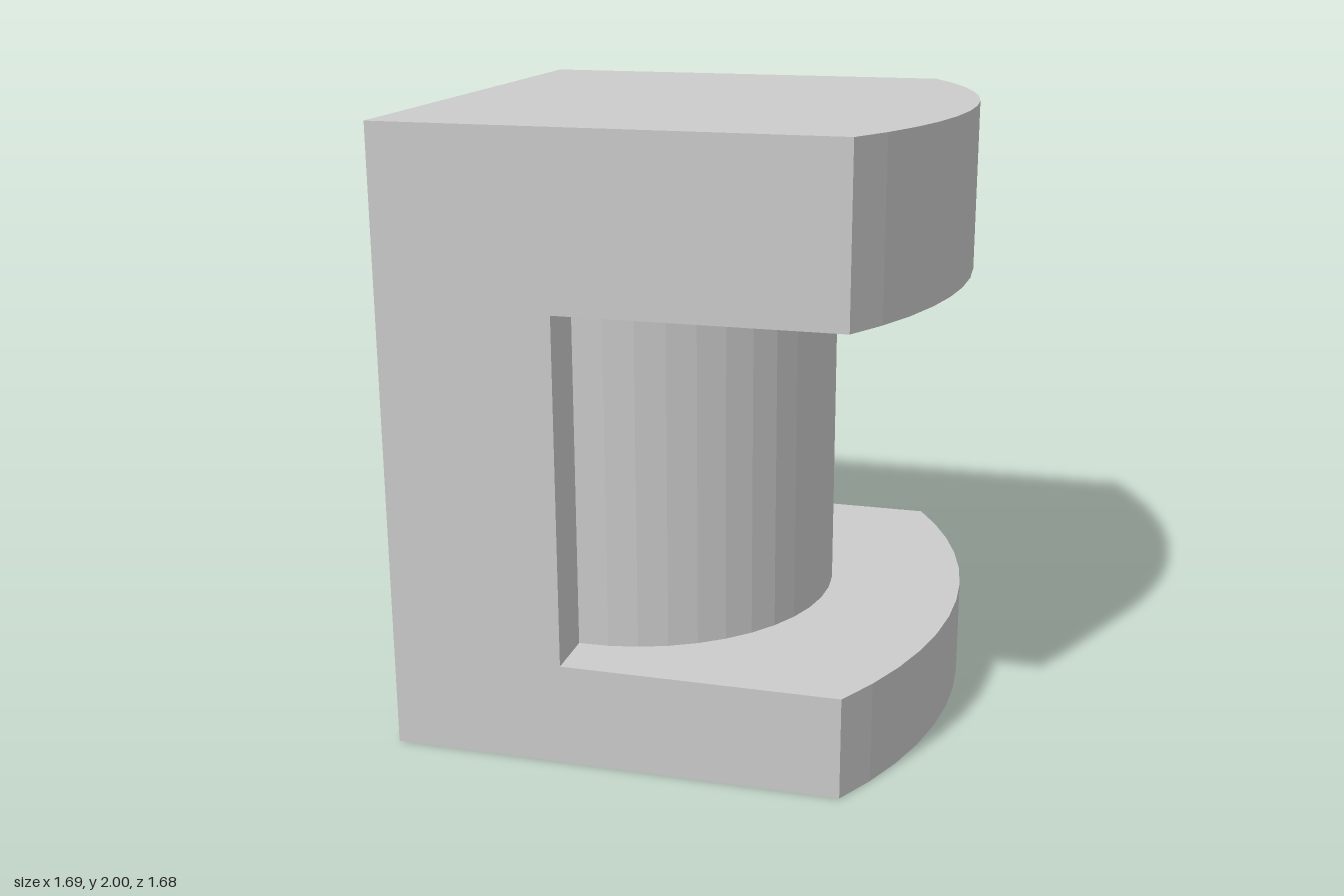
import * as THREE from 'three';

const BACK = -0.845, HALF = 0.84, WALL = -0.285;

// Extrudes a plan outline upwards from y0 to y1
function prism(name, shape, y0, y1, curveSegments) {
  const geometry = new THREE.ExtrudeGeometry(shape, { depth: y1 - y0, bevelEnabled: false, curveSegments });
  geometry.rotateX(-Math.PI / 2);
  geometry.translate(0, y0, 0);
  const material = new THREE.MeshStandardMaterial({ color: 0xcccccc, flatShading: true });
  const mesh = new THREE.Mesh(geometry, material);
  mesh.name = name;
  return mesh;
}

// Block outline with a bowed +x side
function flangeShape() {
  const radius = 1.59, centre = 0.843 - radius;
  const a = Math.asin(HALF / radius);
  const s = new THREE.Shape();
  s.moveTo(BACK, HALF);
  s.lineTo(BACK, -HALF);
  s.absarc(centre, 0, radius, -a, a, false);
  s.closePath();
  return s;
}

// Back wall merged with the round column standing out of it
function coreShape() {
  const radius = 0.66, centre = -0.26;
  const a = Math.acos((WALL - centre) / radius);
  const s = new THREE.Shape();
  s.moveTo(BACK, HALF);
  s.lineTo(BACK, -HALF);
  s.lineTo(WALL, -HALF);
  s.absarc(centre, 0, radius, -a, a, false);
  s.lineTo(WALL, HALF);
  s.closePath();
  return s;
}

export function createModel() {
  const group = new THREE.Group();
  group.name = 'flangedBlock';
  group.add(
    prism('lowerFlange', flangeShape(), 0, 0.33, 6),
    prism('wallAndColumn', coreShape(), 0.33, 1.45, 11),
    prism('upperFlange', flangeShape(), 1.45, 2, 6),
  );
  return group;
}
